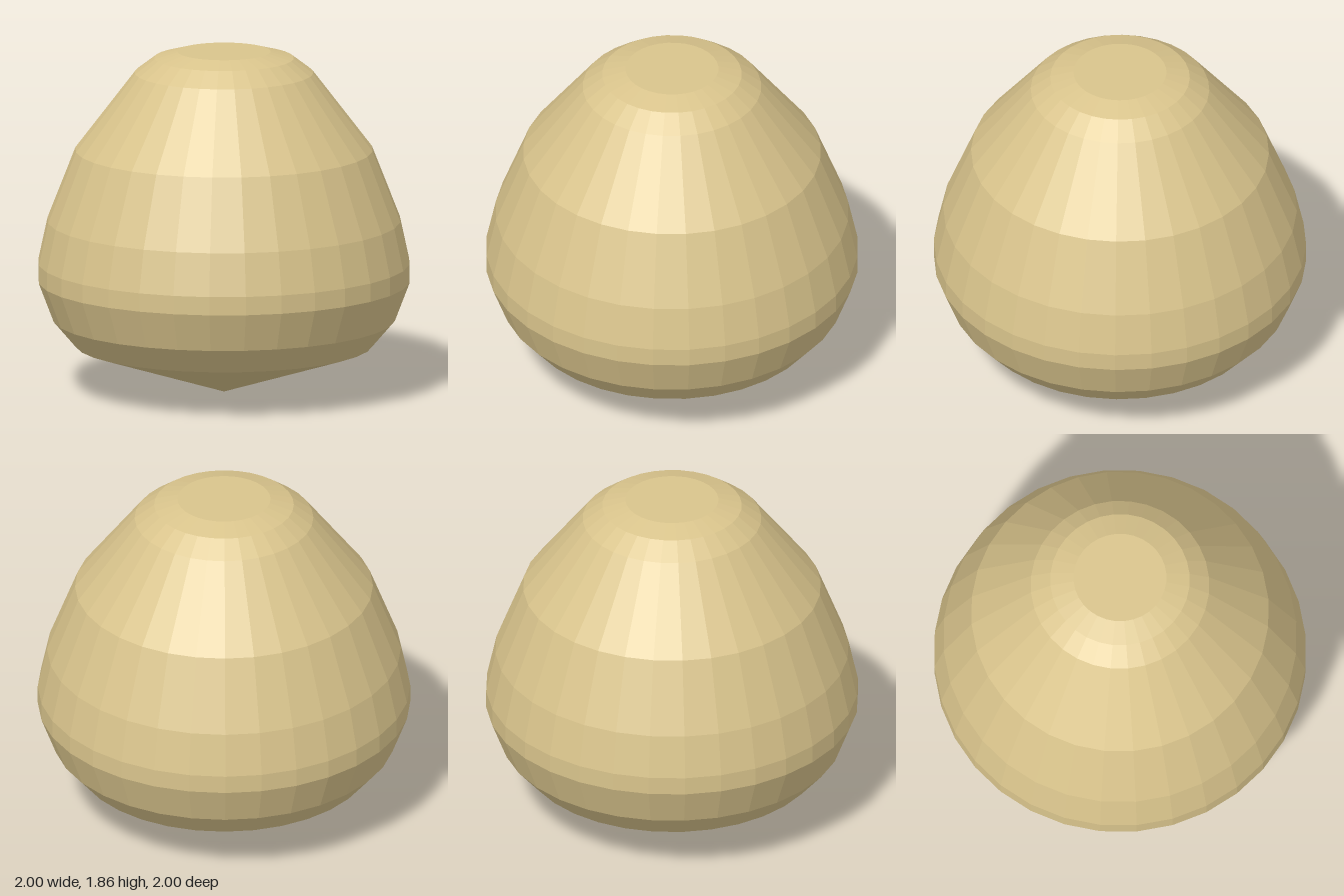
import * as THREE from 'three';

const SIDES = 32;
const STEP = (Math.PI * 2) / SIDES;

export function createModel() {
  const group = new THREE.Group();
  group.name = 'facetedPod';

  const material = new THREE.MeshStandardMaterial({
    color: 0xd9c48c,
    flatShading: true,
    side: THREE.DoubleSide,
  });

  // Surface of revolution; profile runs bottom to top as [radius, height]
  const addLathe = (name, profile, sides, start) => {
    const points = profile.map(([r, y]) => new THREE.Vector2(r, y));
    const geometry = new THREE.LatheGeometry(points, sides, start, sides * STEP);
    const mesh = new THREE.Mesh(geometry, material);
    mesh.name = name;
    group.add(mesh);
  };

  // Domed body with a flat cap
  addLathe('body', [
    [0.8, 0.26], [0.92, 0.4], [1, 0.61], [1, 0.71], [0.95, 0.94],
    [0.8, 1.325], [0.48, 1.745], [0.375, 1.825], [0.25, 1.86], [0, 1.86],
  ], SIDES, 0);

  // Pointed base, left open by two facets on the +x side
  addLathe('baseCone', [[0, 0], [0.8, 0.26]], SIDES - 2, Math.PI / 2 + STEP);

  return group;
}
